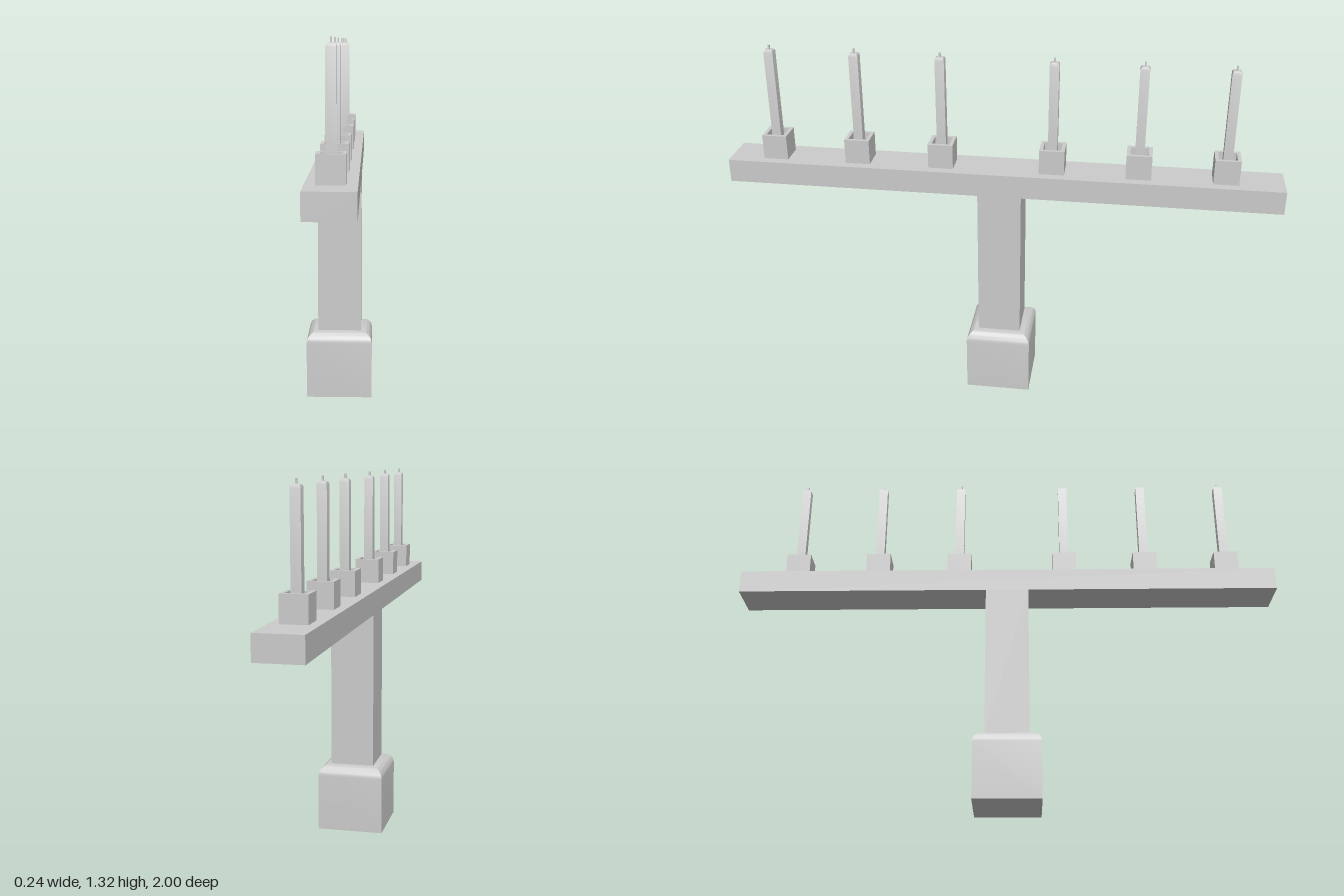
import * as THREE from 'three';
import { toCreasedNormals } from 'three/addons/utils/BufferGeometryUtils.js';

const material = new THREE.MeshStandardMaterial({ color: 0xcccccc });

function addPart(parent, name, geometry, y = 0) {
  const mesh = new THREE.Mesh(geometry, material);
  mesh.name = name;
  mesh.position.y = y;
  parent.add(mesh);
  return mesh;
}

// Square solid turned from a profile of [half width, height] points, bottom to top
function squareTurned(profile) {
  const points = profile.map(([half, y]) => new THREE.Vector2(half * Math.SQRT2, y));
  return toCreasedNormals(new THREE.LatheGeometry(points, 4, Math.PI / 4), 0.6);
}

// Profile of a square block whose top edges are rounded over
function roundedTop(half, bottom, top, radius, steps) {
  const profile = [[0, bottom], [half, bottom]];
  for (let i = 0; i <= steps; i++) {
    const a = (i / steps) * Math.PI / 2;
    profile.push([half - radius + radius * Math.cos(a), top - radius + radius * Math.sin(a)]);
  }
  profile.push([0, top]);
  return profile;
}

export function createModel() {
  const model = new THREE.Group();
  model.name = 'candelabra';

  // Foot, stem and long crossbar
  addPart(model, 'base', squareTurned(roundedTop(0.12, 0, 0.245, 0.04, 8)));
  addPart(model, 'stem', new THREE.BoxGeometry(0.158, 0.565, 0.158), 0.5275);
  addPart(model, 'crossbar', new THREE.BoxGeometry(0.158, 0.085, 2), 0.8525);

  // Hollow square cup, candle with softened top, and wick
  const cup = squareTurned([[0, 0], [0.045, 0], [0.045, 0.09], [0.032, 0.09], [0.032, 0.03], [0, 0.03]]);
  const candle = squareTurned(roundedTop(0.0165, 0.03, 0.405, 0.011, 6));
  const wick = new THREE.BoxGeometry(0.006, 0.015, 0.006);

  for (const z of [-0.795, -0.49, -0.183, 0.217, 0.523, 0.83]) {
    const holder = new THREE.Group();
    holder.name = 'candleHolder';
    holder.position.set(0, 0.895, z);
    addPart(holder, 'cup', cup);
    addPart(holder, 'candle', candle);
    addPart(holder, 'wick', wick, 0.4125);
    model.add(holder);
  }
  return model;
}
